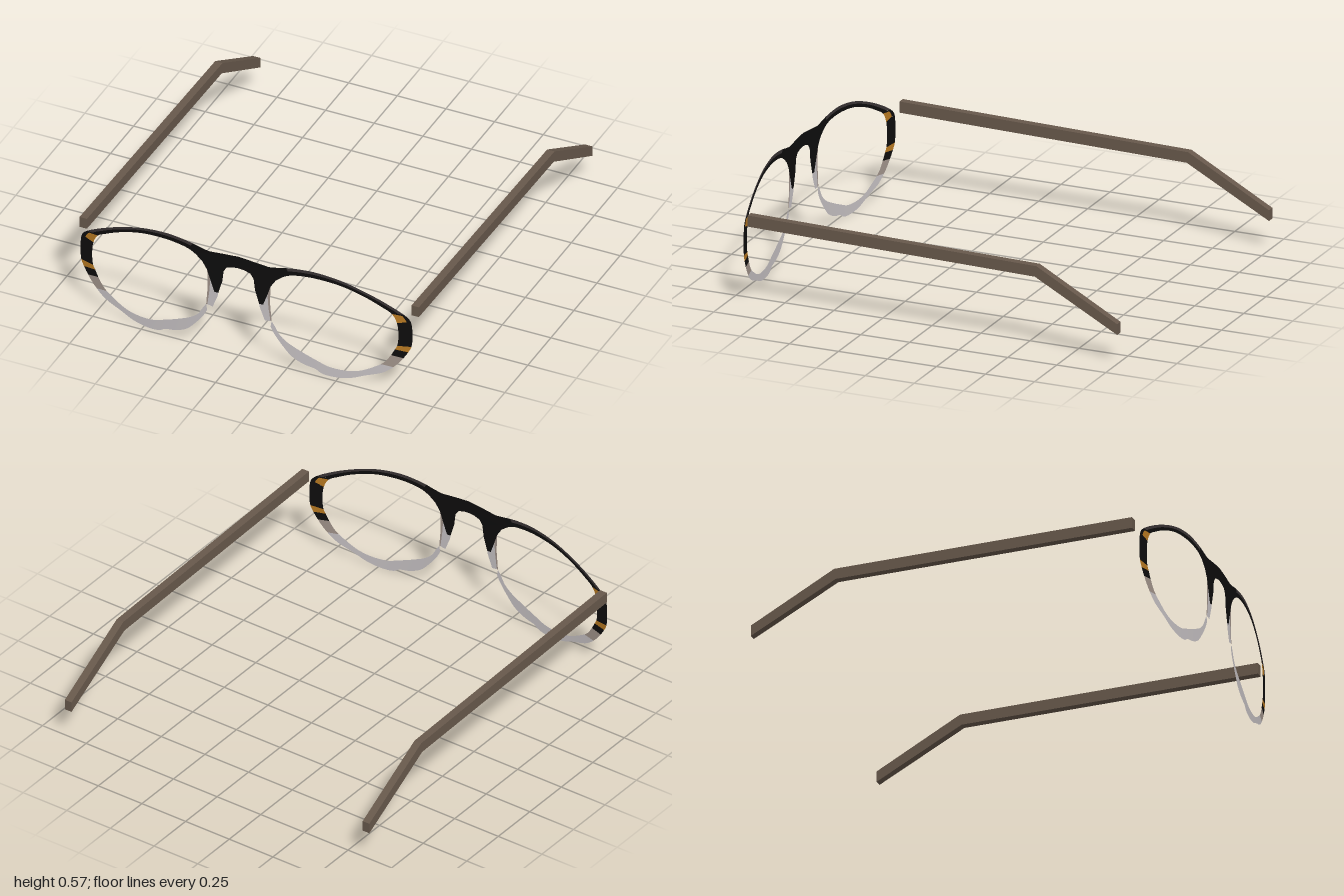
import * as THREE from 'three';

const mat = (name, color, side = THREE.DoubleSide) => {
  const m = new THREE.MeshStandardMaterial({ color, side });
  m.name = name;
  return m;
};

// Rim cross-sections [outerX, outerY, innerX, innerY], from the bridge over the top, round to the nose
const SECTIONS = [
  [0.20, 0.545, 0.225, 0.50], [0.24, 0.554, 0.26, 0.517], [0.30, 0.562, 0.32, 0.528],
  [0.38, 0.565, 0.404, 0.53], [0.507, 0.547, 0.52, 0.515], [0.647, 0.50, 0.63, 0.478],
  [0.764, 0.444, 0.71, 0.438], [0.825, 0.405, 0.755, 0.41], [0.845, 0.38, 0.78, 0.362],
  [0.853, 0.31, 0.787, 0.29], [0.848, 0.24, 0.781, 0.235], [0.833, 0.207, 0.77, 0.213],
  [0.81, 0.17, 0.752, 0.178], [0.778, 0.128, 0.718, 0.13], [0.717, 0.075, 0.665, 0.093],
  [0.624, 0.038, 0.60, 0.06], [0.56, 0.012, 0.53, 0.047], [0.49, 0.0, 0.45, 0.052],
  [0.42, 0.005, 0.395, 0.072], [0.385, 0.024, 0.35, 0.09], [0.33, 0.036, 0.30, 0.112],
  [0.27, 0.065, 0.25, 0.137], [0.225, 0.112, 0.21, 0.17], [0.18, 0.172, 0.183, 0.215],
  [0.163, 0.205, 0.168, 0.237],
];
const LAST = SECTIONS.length - 1;
const contour = (k) => new THREE.CatmullRomCurve3(
  SECTIONS.map((s) => new THREE.Vector3(s[k], s[k + 1], 0)), false, 'centripetal');
const outer = contour(0), inner = contour(2);

// Gentle wrap of the front around the face
const wrap = (x) => 1 - 0.118 * x * x;

// Part of the rim between two sections and between two fractions of its width
function rimBand(side, from, to, f0 = 0, f1 = 1) {
  const steps = Math.round((to - from) * 5), pos = [], idx = [];
  for (let i = 0; i <= steps; i++) {
    const t = (from + ((to - from) * i) / steps) / LAST;
    const a = outer.getPoint(t), b = inner.getPoint(t);
    for (const f of [f0, f1]) {
      const p = a.clone().lerp(b, f);
      pos.push(side * p.x, p.y, wrap(p.x));
    }
    if (i < steps) {
      const k = 2 * i;
      idx.push(k, k + 1, k + 2, k + 1, k + 3, k + 2);
    }
  }
  const g = new THREE.BufferGeometry();
  g.setAttribute('position', new THREE.Float32BufferAttribute(pos, 3));
  g.setIndex(idx);
  g.computeVertexNormals();
  return g;
}

// Flat outline bent onto the curved front
function plate(side, points) {
  const g = new THREE.ShapeGeometry(
    new THREE.Shape(points.map(([x, y]) => new THREE.Vector2(side * x, y))));
  const p = g.attributes.position;
  for (let i = 0; i < p.count; i++) p.setZ(i, wrap(p.getX(i)));
  g.computeVertexNormals();
  return g;
}

export function createModel() {
  const model = new THREE.Group();
  model.name = 'eyeglasses';
  const black = mat('black acetate', 0x0e0d0d);
  const charcoal = mat('charcoal marbling', 0x3a3435);
  const amber = mat('amber accent', 0xb97a22);
  const tan = mat('smoky tan', 0xa3958c);
  const pale = mat('pale grey acetate', 0xc8c3c5);
  const brown = mat('brown temple', 0x67584b, THREE.FrontSide);

  const add = (parent, name, geometry, material) => {
    const mesh = new THREE.Mesh(geometry, material);
    mesh.name = name;
    parent.add(mesh);
    return mesh;
  };

  // Temple side profile, drawn as (-z, y)
  const templeShape = new THREE.Shape([
    [-0.885, 0.396], [0.58, 0.368], [1, 0.143], [1, 0.196], [0.588, 0.421], [-0.885, 0.451],
  ].map(([u, v]) => new THREE.Vector2(u, v)));

  for (const side of [1, -1]) {
    const half = new THREE.Group();
    half.name = side > 0 ? 'leftSide' : 'rightSide';
    model.add(half);

    // Rim, one strip for each colour
    const bands = [
      ['upperRimEdge', charcoal, 1, 6.8, 0, 0.45],
      ['upperRim', black, 1, 6.8, 0.45, 1],
      ['upperRimStart', black, 0, 1],
      ['upperCorner', black, 6.8, 7],
      ['upperAccentEdge', black, 7, 8, 0, 0.3],
      ['upperAccent', amber, 7, 8, 0.3, 1],
      ['endPiece', black, 8, 10],
      ['lowerAccent', amber, 10, 11],
      ['lowerCorner', black, 11, 12],
      ['rimBlend', tan, 12, 13.3],
      ['lowerRim', pale, 13.3, LAST],
    ];
    for (const [name, material, ...span] of bands) add(half, name, rimBand(side, ...span), material);

    // Bridge with its dark nose lobe
    add(half, 'bridge', plate(side, [
      [0, 0.552], [0.06, 0.547], [0.155, 0.537], [0.20, 0.545], [0.225, 0.50], [0.19, 0.472],
      [0.163, 0.43], [0.147, 0.38], [0.125, 0.318], [0.105, 0.318], [0.084, 0.39],
      [0.077, 0.45], [0.06, 0.474], [0.03, 0.484], [0, 0.487],
    ]), black);

    // Nose pad
    add(half, 'nosePad', plate(side, [
      [0.147, 0.38], [0.152, 0.31], [0.162, 0.237], [0.134, 0.232], [0.108, 0.30],
      [0.105, 0.318], [0.125, 0.318],
    ]), pale);
    add(half, 'nosePadEdge', plate(side, [
      [0.163, 0.43], [0.160, 0.34], [0.168, 0.237], [0.162, 0.237], [0.152, 0.31], [0.147, 0.38],
    ]), tan);

    // Temple arm, bent down behind the ear
    const arm = new THREE.ExtrudeGeometry(templeShape, { depth: 0.038, bevelEnabled: false });
    arm.translate(0, 0, -0.019).rotateY(Math.PI / 2).translate(side * 0.853, 0, 0);
    add(half, 'temple', arm, brown);
  }
  return model;
}
